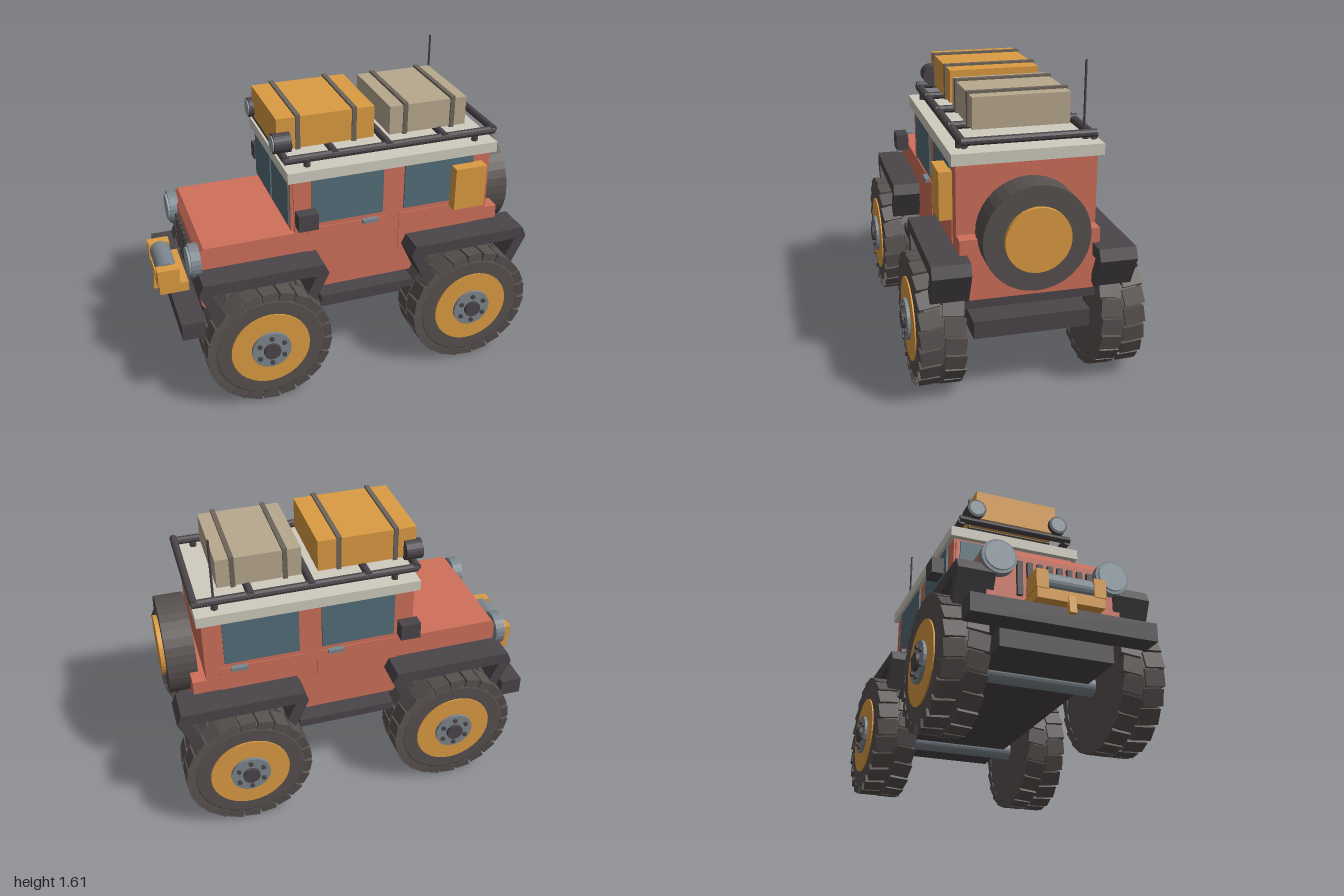
import * as THREE from 'three';

const mat = (color) => new THREE.MeshStandardMaterial({ color, flatShading: true });
const M = {
  red: mat(0xd0705a), dark: mat(0x4a4549), tyre: mat(0x57514f), yellow: mat(0xdc9c42),
  cream: mat(0xd0ccbe), tan: mat(0xb8a88e), strap: mat(0x6e665c), steel: mat(0x7c868e),
  glass: mat(0x546e7a), lamp: mat(0x93a1a9),
};

export function createModel() {
  const root = new THREE.Group();
  root.name = 'offRoadCar';

  function add(name, geo, material, parent = root) {
    const m = new THREE.Mesh(geo, material);
    m.name = name;
    parent.add(m);
    return m;
  }
  // box given by its low and high limits on each axis
  function box(name, material, x0, x1, y0, y1, z0, z1, parent) {
    const m = add(name, new THREE.BoxGeometry(x1 - x0, y1 - y0, z1 - z0), material, parent);
    m.position.set((x0 + x1) / 2, (y0 + y1) / 2, (z0 + z1) / 2);
    return m;
  }
  // cylinder centred at a point, lying along the named axis
  function rod(name, material, r, len, axis, x, y, z, parent, sides = 24) {
    const g = new THREE.CylinderGeometry(r, r, len, sides);
    if (axis === 'x') g.rotateZ(Math.PI / 2);
    if (axis === 'z') g.rotateX(Math.PI / 2);
    const m = add(name, g, material, parent);
    m.position.set(x, y, z);
    return m;
  }
  // side outline pushed out along z
  function extrude(pts, z0, z1) {
    const s = new THREE.Shape(pts.map((p) => new THREE.Vector2(p[0], p[1])));
    const g = new THREE.ExtrudeGeometry(s, { depth: z1 - z0, bevelEnabled: false });
    return g.translate(0, 0, z0);
  }

  // body shell
  add('body', extrude([[-0.8, 0.53], [-0.78, 0.51], [0.87, 0.51], [0.87, 0.82], [0.8, 0.82],
    [0.8, 1.17], [-0.3, 1.17], [-0.29, 0.865], [-0.77, 0.865], [-0.8, 0.83]], -0.345, 0.345), M.red);
  box('roof', M.cream, -0.33, 0.825, 1.168, 1.225, -0.37, 0.37);
  box('windscreenFrame', M.red, -0.31, -0.285, 0.88, 1.16, -0.335, 0.335);

  // underside
  box('floor', M.dark, -0.79, 0.86, 0.46, 0.515, -0.34, 0.34);
  box('chassis', M.dark, -0.82, 0.92, 0.33, 0.42, -0.29, 0.29);

  // parts mirrored on both sides
  for (const s of [-1, 1]) {
    const zr = (a, b) => (s > 0 ? [a, b] : [-b, -a]);
    box('windscreenPane', M.glass, -0.318, -0.3, 0.9, 1.15, ...zr(0.015, 0.315));
    for (const x of [-0.2, 0.31]) {
      box('sideWindow', M.glass, x, x + 0.39, 0.91, 1.165, ...zr(0.34, 0.355));
      box('door', M.red, x - 0.025, x + 0.415, 0.645, 0.88, ...zr(0.34, 0.35));
      box('doorHandle', M.steel, x + 0.275, x + 0.36, 0.865, 0.885, ...zr(0.345, 0.372));
    }
    box('sideStep', M.dark, -0.18, 0.34, 0.465, 0.51, ...zr(0.335, 0.44));
    box('mirror', M.dark, -0.305, -0.2, 0.94, 1.03, ...zr(0.4, 0.465));
    rod('headlightRim', M.steel, 0.09, 0.05, 'x', -0.815, 0.78, s * 0.295);
    rod('headlightLens', M.lamp, 0.075, 0.02, 'x', -0.84, 0.78, s * 0.295);

    // roof rack side
    rod('rackRail', M.dark, 0.022, 1.16, 'x', 0.25, 1.27, s * 0.31, root, 10);
    for (const x of [-0.21, 0.72]) rod('rackPost', M.dark, 0.018, 0.06, 'y', x, 1.245, s * 0.31, root, 8);
    rod('spotlight', M.dark, 0.053, 0.09, 'x', -0.325, 1.34, s * 0.24);
    rod('spotlightLens', M.lamp, 0.042, 0.01, 'x', -0.371, 1.34, s * 0.24);
    for (const x of [-0.495, 0.645]) {
      const arch = [[-0.315, 0.745], [-0.34, 0.69], [-0.262, 0.525], [-0.21, 0.55], [-0.27, 0.682]];
      const outline = [...arch, ...arch.map((p) => [-p[0], p[1]]).reverse()];
      add('fender', extrude(outline, ...zr(0.31, 0.497)), M.dark).position.x = x;
    }
  }

  // roof rack cross bars and luggage
  for (const x of [-0.325, -0.065, 0.23, 0.54, 0.82])
    rod('rackCrossBar', M.dark, 0.02, 0.65, 'z', x, 1.28, 0, root, 10);
  function luggage(name, material, x0, x1, top, w, straps) {
    const g = new THREE.Group();
    g.name = name;
    root.add(g);
    box('case', material, x0, x1, 1.295, top, -w, w, g);
    for (const x of straps) box('strap', M.strap, x - 0.012, x + 0.012, 1.29, top + 0.012, -w - 0.008, w + 0.008, g);
  }
  luggage('frontLuggage', M.yellow, -0.345, 0.175, 1.465, 0.235, [-0.235, 0.065]);
  luggage('rearLuggage', M.tan, 0.26, 0.69, 1.45, 0.24, [0.345, 0.61]);
  rod('antenna', M.dark, 0.006, 0.38, 'y', 0.72, 1.415, -0.3, root, 8);
  box('fuelCan', M.yellow, 0.575, 0.75, 0.88, 1.12, 0.35, 0.415);

  // grille slots
  for (let i = 0; i < 8; i++) {
    const z = (i - 3.5) * 0.052;
    box('grilleSlot', M.dark, -0.818, -0.79, 0.61, 0.79, z - 0.014, z + 0.014);
  }

  // front bumper and winch
  box('frontBumper', M.dark, -0.93, -0.815, 0.425, 0.52, -0.47, 0.47);
  box('winchBase', M.yellow, -0.985, -0.83, 0.52, 0.575, -0.17, 0.17);
  for (const z of [-0.145, 0.145])
    box('winchEnd', M.yellow, -0.99, -0.875, 0.57, 0.665, z - 0.03, z + 0.03);
  rod('winchDrum', M.steel, 0.055, 0.24, 'z', -0.93, 0.62, 0);
  add('winchHook', extrude([[-0.97, 0.575], [-0.99, 0.55], [-1, 0.465], [-0.975, 0.465], [-0.965, 0.53]], -0.018, 0.018), M.yellow);

  // spare wheel
  rod('spareTyre', M.tyre, 0.26, 0.15, 'x', 0.903, 0.84, 0, root, 36);
  rod('spareRim', M.yellow, 0.16, 0.03, 'x', 0.985, 0.84, 0, root, 36);

  // wheels: built along +z around the hub, turned round for the far side
  function wheel(name, x, s) {
    const g = new THREE.Group();
    g.name = name;
    const profile = [[0.001, -0.11], [0.28, -0.11], [0.312, -0.1], [0.322, -0.08],
      [0.322, 0.08], [0.312, 0.1], [0.28, 0.11], [0.001, 0.11]].map((p) => new THREE.Vector2(...p));
    add('tyre', new THREE.LatheGeometry(profile, 40).rotateX(Math.PI / 2), M.tyre, g);
    const n = 22;
    for (let i = 0; i < n; i++) {
      for (const side of [-1, 1]) {
        const pivot = new THREE.Group();
        pivot.rotation.z = ((i + (side > 0 ? 0.5 : 0)) / n) * Math.PI * 2;
        const b = add('treadBlock', new THREE.BoxGeometry(0.045, 0.082, 0.104), M.tyre, pivot);
        b.position.set(0.31, 0, side * 0.058);
        b.rotation.x = side * 0.12;
        g.add(pivot);
      }
    }
    rod('rim', M.yellow, 0.21, 0.03, 'z', 0, 0, 0.102, g, 36);
    rod('hub', M.steel, 0.105, 0.03, 'z', 0, 0, 0.118, g);
    rod('hubCap', M.dark, 0.045, 0.04, 'z', 0, 0, 0.13, g);
    for (let i = 0; i < 6; i++) {
      const a = (i / 6) * Math.PI * 2 + Math.PI / 6;
      rod('bolt', M.dark, 0.013, 0.02, 'z', Math.cos(a) * 0.075, Math.sin(a) * 0.075, 0.134, g, 6);
    }
    g.position.set(x, 0.335, s * 0.445);
    if (s < 0) g.rotation.y = Math.PI;
    root.add(g);
  }
  for (const [name, x] of [['front', -0.495], ['rear', 0.645]]) {
    wheel(name + 'WheelNear', x, 1);
    wheel(name + 'WheelFar', x, -1);
    rod(name + 'Axle', M.steel, 0.048, 0.7, 'z', x, 0.335, 0);
  }
  return root;
}
